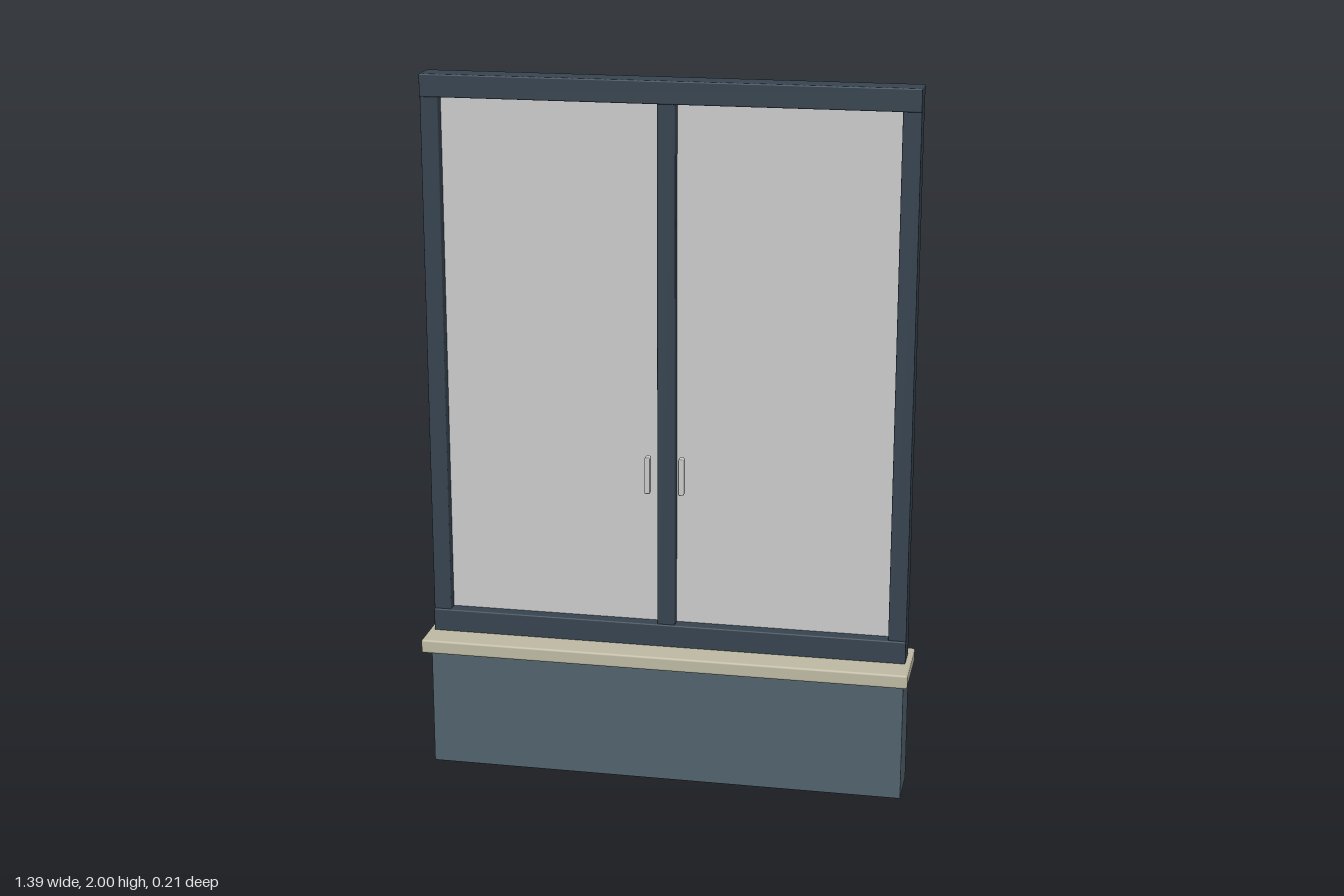
import * as THREE from 'three';
import { RoundedBoxGeometry } from 'three/addons/geometries/RoundedBoxGeometry.js';

const material = (color) => new THREE.MeshStandardMaterial({ color });

export function createModel() {
  const group = new THREE.Group();
  const frame = material(0x36434f);
  const panel = material(0x50626c);
  const stone = material(0xbdb9a3);
  const glass = material(0xccd0ce);
  const metal = material(0xcccccc);

  // Box between two limits on each axis, with softened edges when bevel > 0
  function block(name, mat, [x0, x1], [y0, y1], [z0, z1], bevel = 0.004) {
    const size = [x1 - x0, y1 - y0, z1 - z0];
    const geometry = bevel > 0
      ? new RoundedBoxGeometry(...size, 2, bevel)
      : new THREE.BoxGeometry(...size);
    const mesh = new THREE.Mesh(geometry, mat);
    mesh.name = name;
    mesh.position.set((x0 + x1) / 2, (y0 + y1) / 2, (z0 + z1) / 2);
    group.add(mesh);
  }

  // Base wall and projecting sill
  block('basePanel', panel, [-0.68, 0.68], [0, 0.357], [-0.09, 0.056]);
  block('sill', stone, [-0.695, 0.695], [0.355, 0.395], [-0.107, 0.107], 0.006);

  // Horizontal rails, slightly deeper than the posts
  const railDepth = [-0.06, 0.021];
  block('bottomRail', frame, [-0.68, 0.68], [0.393, 0.46], railDepth);
  block('topRail', frame, [-0.68, 0.68], [1.937, 2], railDepth);

  // Centre post
  const postDepth = [-0.055, 0.016];
  const postHeight = [0.45, 1.945];
  block('centrePost', frame, [-0.025, 0.025], postHeight, postDepth);

  // Mirrored side posts, panes and pull handles
  for (const [side, s] of [['left', 1], ['right', -1]]) {
    const span = (a, b) => (s > 0 ? [a, b] : [-b, -a]);
    block(side + 'Post', frame, span(0.63, 0.68), postHeight, postDepth);
    block(side + 'Pane', glass, span(0.02, 0.635), [0.455, 1.94], [-0.024, -0.015], 0);
    block(side + 'Handle', metal, span(0.04, 0.055), [0.855, 0.96], [0.021, 0.046], 0.003);
  }

  return group;
}
